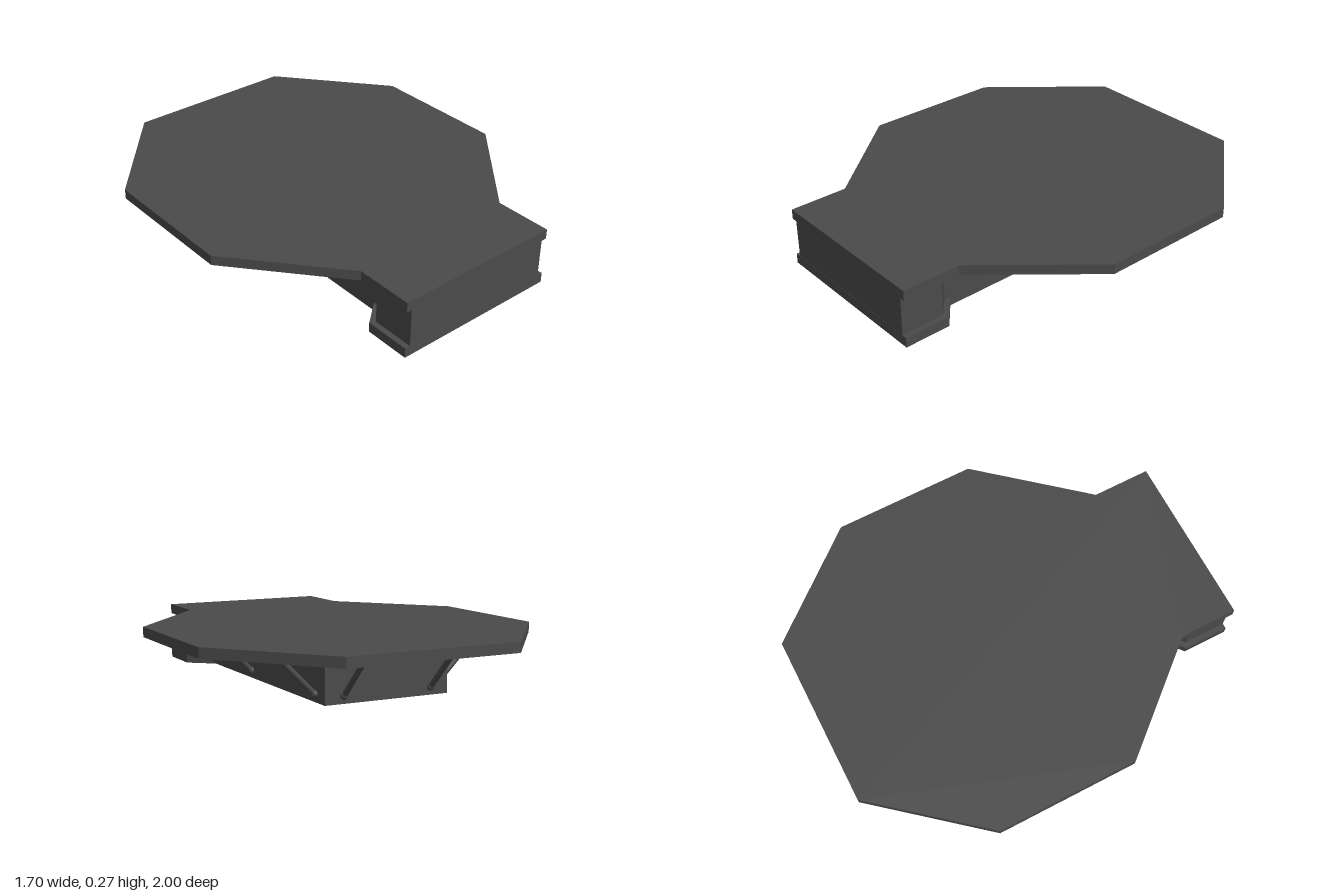
import * as THREE from 'three';

export function createModel() {
  const model = new THREE.Group();
  model.name = 'platform';
  // The whole platform is turned about the vertical axis
  model.rotation.y = 0.3866;
  const grey = new THREE.MeshStandardMaterial({ color: 0x4a4a4a });
  grey.name = 'dark grey';
  const CX = 0.046; // symmetry line

  // Prism from one half of a mirrored outline, given as [half width, z] pairs from front to back
  function prism(name, half, y0, y1) {
    const right = half.map(([w, z]) => new THREE.Vector2(CX + w, -z));
    const left = half.map(([w, z]) => new THREE.Vector2(CX - w, -z)).reverse();
    const geometry = new THREE.ExtrudeGeometry(new THREE.Shape([...right, ...left]), {
      depth: y1 - y0, bevelEnabled: false,
    });
    geometry.rotateX(-Math.PI / 2);
    geometry.translate(0, y0, 0);
    const mesh = new THREE.Mesh(geometry, grey);
    mesh.name = name;
    model.add(mesh);
  }

  // Eight-sided deck with a landing at the front
  prism('deck', [[0.392, 0.935], [0.392, 0.67], [0.785, 0.21], [0.785, -0.437], [0.392, -0.904]], 0.22, 0.265);
  // Long supporting body
  prism('body', [[0.29, 0.67], [0.29, -0.535]], 0.005, 0.22);
  // Front end of the body, flared to the landing width
  prism('frontWall', [[0.367, 0.934], [0.367, 0.737], [0.29, 0.668]], 0.04, 0.22);
  prism('frontFoot', [[0.392, 0.935], [0.392, 0.725], [0.29, 0.64]], 0, 0.045);

  // Slanted braces with rounded ends
  const up = new THREE.Vector3(0, 1, 0);
  function brace(name, x, z, dx, dz) {
    const group = new THREE.Group();
    group.name = name;
    const a = new THREE.Vector3(x, 0.04, z);
    const b = new THREE.Vector3(x + dx, 0.215, z + dz);
    const along = b.clone().sub(a);
    const rod = new THREE.Mesh(new THREE.CylinderGeometry(0.012, 0.012, along.length(), 12), grey);
    rod.name = 'braceRod';
    rod.position.copy(a).add(b).multiplyScalar(0.5);
    rod.quaternion.setFromUnitVectors(up, along.normalize());
    group.add(rod);
    for (const p of [a, b]) {
      const end = new THREE.Mesh(new THREE.SphereGeometry(0.017, 12, 8), grey);
      end.name = 'braceEnd';
      end.position.copy(p);
      group.add(end);
    }
    model.add(group);
  }
  for (const side of [-1, 1]) {
    for (const z of [0.17, -0.455]) brace('sideBrace', CX + side * 0.295, z, side * 0.175, 0);
    brace('backBrace', CX + side * 0.205, -0.54, 0, -0.175);
  }

  const root = new THREE.Group();
  root.name = 'model';
  root.add(model);
  return root;
}
